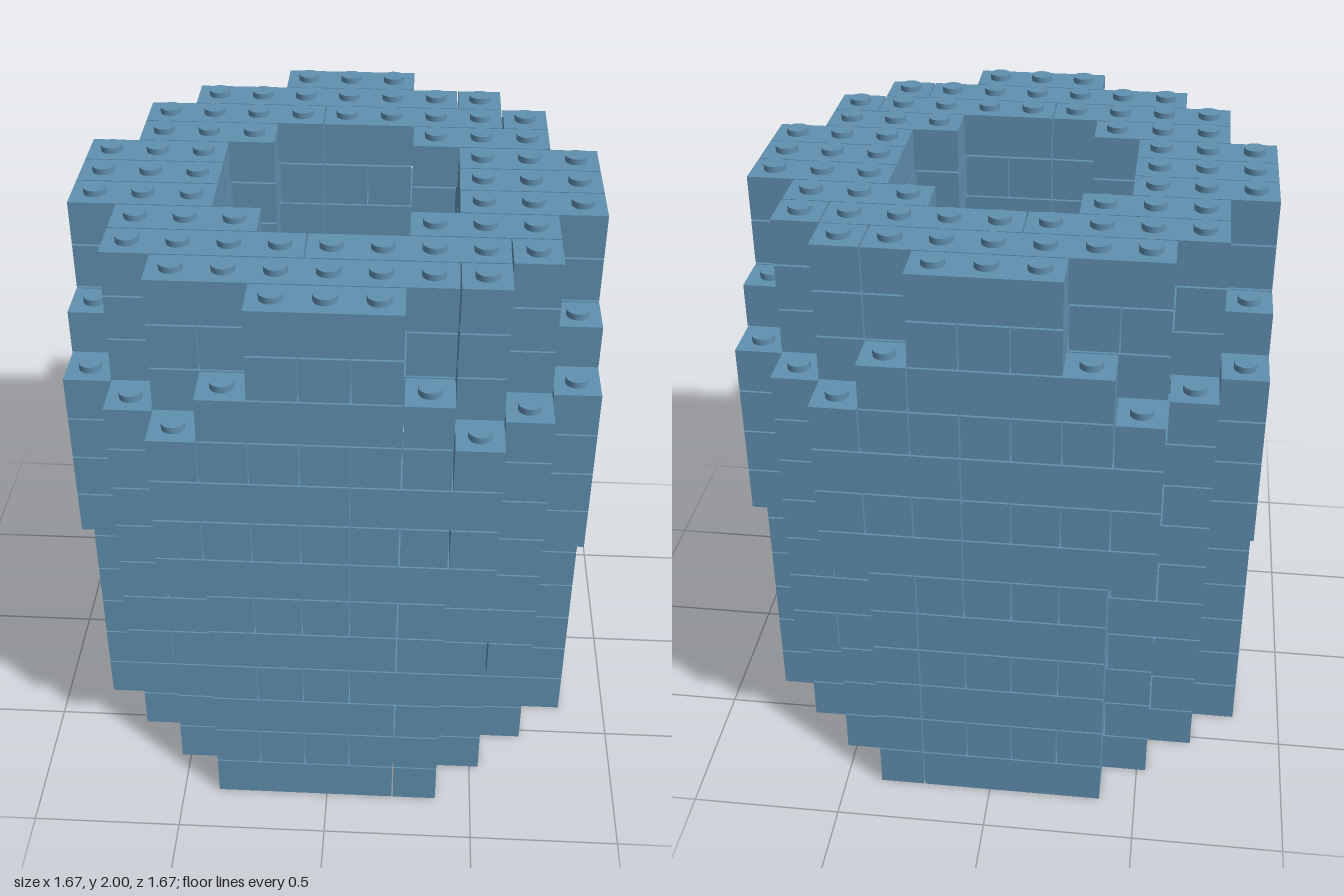
import * as THREE from 'three';
import { mergeGeometries } from 'three/addons/utils/BufferGeometryUtils.js';

const U = 0.1524;        // stud pitch
const H = 1.98 / 13;     // course height
const GAP = 0.005;
const LAYERS = 13;
const R = 5;             // cells run from -5 to 5

// Outer outline of the barrel: stepped corners that bulge in the middle
function insideOutline(a, b, k) {
  const sum = a + b;
  if (k < 3) return sum <= 7;
  if (k < 6) return sum <= 7 || (a === 4 && b === 4);
  if (k < 10) return sum <= 8;
  if (k === 10) return sum <= 7;
  return sum <= 7 && Math.max(a, b) + Math.min(a, b) * 0.5 < 6;
}

// Hollow: solid floor, wide belly, narrower mouth
function insideHollow(a, b, k) {
  if (k < 3) return false;
  if (k < 7) return Math.max(a, b) <= 3 && a + b <= 4;
  if (k < 10) return Math.max(a, b) <= 3 && a + b <= 5;
  return Math.max(a, b) <= 2 && a + b <= 3;
}

function filled(x, z, k) {
  const a = Math.abs(x), b = Math.abs(z);
  if (k < 0 || k >= LAYERS || a > R || b > R) return false;
  return insideOutline(a, b, k) && !insideHollow(a, b, k);
}

// One brick covering cells from..to along a row; alongX picks its direction
function brick(row, from, to, k, alongX) {
  const length = (to - from + 1) * U - GAP, width = U - GAP;
  const mid = (from + to) / 2 * U;
  const g = new THREE.BoxGeometry(alongX ? length : width, H - GAP, alongX ? width : length);
  const y = k * H + (H - GAP) / 2 + (k === LAYERS - 1 ? GAP : GAP * k / LAYERS);
  return g.translate(alongX ? mid : row * U, y, alongX ? row * U : mid);
}

// Splits each row of a course into bricks, with joints staggered by course
function courseBricks(k) {
  const parts = [];
  const alongX = k % 2 === 0;
  const has = (row, i) => alongX ? filled(i, row, k) : filled(row, i, k);
  for (let row = -R; row <= R; row++) {
    let start = null;
    for (let i = -R; i <= R + 1; i++) {
      const on = i <= R && has(row, i);
      if (on && start === null) start = i;
      if (start === null) continue;
      const maxLength = Math.abs(row) % 2 === 0 ? 6 : 4;
      if (!on || i - start >= maxLength) {
        parts.push(brick(row, start, i - 1, k, alongX));
        start = on ? i : null;
      }
    }
  }
  return parts;
}

// Studs on every cell with nothing above it
function courseStuds(k) {
  const parts = [];
  for (let x = -R; x <= R; x++) {
    for (let z = -R; z <= R; z++) {
      if (!filled(x, z, k) || filled(x, z, k + 1)) continue;
      const stud = new THREE.CylinderGeometry(0.036, 0.036, 0.024, 20);
      parts.push(stud.translate(x * U, (k + 1) * H + 0.008, z * U));
    }
  }
  return parts;
}

export function createModel() {
  const model = new THREE.Group();
  model.name = 'brickBarrel';
  const blue = new THREE.MeshStandardMaterial({ color: 0x6090b0 });
  blue.name = 'dustyBlue';

  const add = (name, parts) => {
    if (!parts.length) return;
    const mesh = new THREE.Mesh(mergeGeometries(parts), blue);
    mesh.name = name;
    model.add(mesh);
  };
  for (let k = 0; k < LAYERS; k++) {
    add(`brickCourse${k + 1}`, courseBricks(k));
    add(`studs${k + 1}`, courseStuds(k));
  }
  return model;
}
